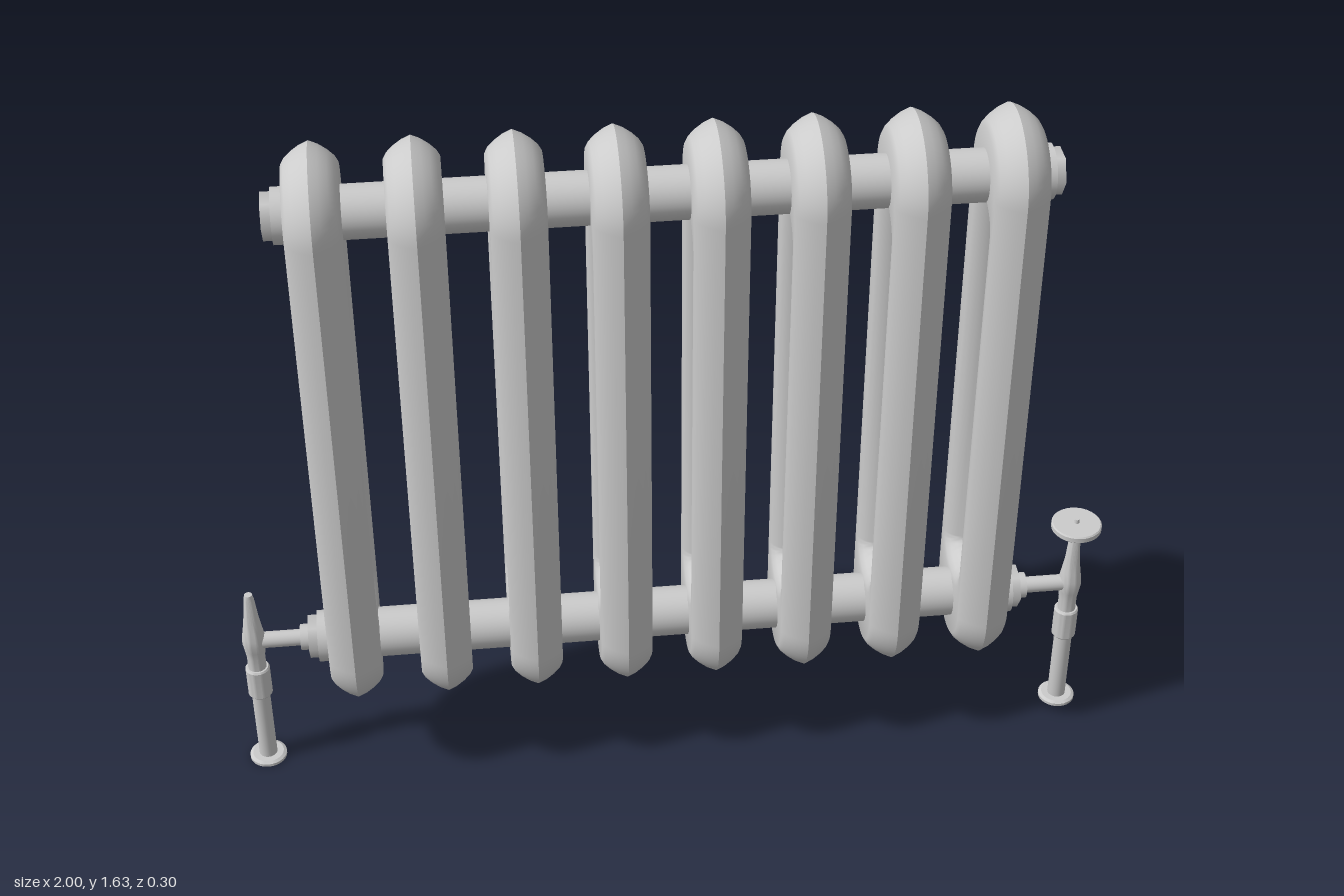
import * as THREE from 'three';
import { toCreasedNormals, mergeVertices } from 'three/addons/utils/BufferGeometryUtils.js';

const metal = new THREE.MeshStandardMaterial({ color: 0xcccccc });
const openMetal = new THREE.MeshStandardMaterial({ color: 0xcccccc, side: THREE.DoubleSide });

const CENTRE = -0.01, PITCH = 0.2054, COUNT = 8, HALF = 0.058;
const LOW = 0.358, HIGH = 1.485;

function add(parent, name, geometry, x = 0, y = 0, z = 0, material = metal) {
  const mesh = new THREE.Mesh(geometry, material);
  mesh.name = name;
  mesh.position.set(x, y, z);
  parent.add(mesh);
  return mesh;
}

// Cylinder lying along x
function rod(radius, length, sides = 32) {
  return new THREE.CylinderGeometry(radius, radius, length, sides).rotateZ(Math.PI / 2);
}

// One long loop in the z-y plane: straight sides with half-ellipse ends
function loop(rz, ry, bottom, top, x, steps = 28) {
  const points = [];
  for (const [centre, start] of [[top, 0], [bottom, Math.PI]]) {
    for (let i = 0; i <= steps; i++) {
      const a = start + (Math.PI * i) / steps;
      points.push([x, centre + ry * Math.sin(a), rz * Math.cos(a)]);
    }
  }
  return points;
}

// Hollow column section: ridged outer rim, flat cheeks, rounded inner opening
function sectionGeometry() {
  const rim = [[0.045, HALF], [0.033, 0.051], [0.02, 0.037], [0.008, 0.019], [0, 0]];
  const outer = [...rim, ...rim.slice(0, 4).reverse().map(([d, x]) => [d, -x])]
    .map(([d, x]) => loop(0.152 - d, 0.152 - d, 0.367, 1.48, x));
  const inner = [];
  for (let i = 0; i <= 10; i++) {
    const a = (Math.PI * i) / 10;
    const e = 0.043 * (1 - Math.sin(a));
    inner.push(loop(0.05 + e, 0.023 + e, 0.473, 1.385, -HALF * Math.cos(a)));
  }
  const rings = [...outer, ...inner];
  const n = rings[0].length, positions = [], index = [];
  rings.forEach((ring) => ring.forEach((p) => positions.push(...p)));
  for (let r = 0; r < rings.length; r++) {
    const next = (r + 1) % rings.length;
    for (let i = 0; i < n; i++) {
      const j = (i + 1) % n;
      const a = r * n + i, b = r * n + j, c = next * n + j, d = next * n + i;
      index.push(a, d, b, b, d, c);
    }
  }
  const geometry = new THREE.BufferGeometry();
  geometry.setAttribute('position', new THREE.Float32BufferAttribute(positions, 3));
  geometry.setIndex(index);
  // Make sure the faces point outwards, judged by the signed volume
  let volume = 0;
  const v = (k) => new THREE.Vector3().fromArray(positions, 3 * k);
  for (let i = 0; i < index.length; i += 3) {
    volume += v(index[i]).dot(v(index[i + 1]).cross(v(index[i + 2])));
  }
  if (volume < 0) geometry.setIndex(index.reverse());
  return toCreasedNormals(mergeVertices(geometry), 0.56);
}

// Round washer with a hexagonal nut outside it
function endFitting(parent, side, y) {
  const face = CENTRE + side * (3.5 * PITCH + HALF);
  add(parent, 'washer', rod(0.059, 0.026), face + side * 0.012, y);
  add(parent, 'hexNut', rod(0.05, 0.022, 6), face + side * 0.035, y);
  return face + side * 0.045;
}

function lathe(points, crease = 0.5) {
  const g = new THREE.LatheGeometry(points.map(([r, y]) => new THREE.Vector2(r, y)), 28);
  return toCreasedNormals(g, crease);
}

// Floor pipe, coupling, valve body and side pipe
function valve(name, x, hasWheel, nutEnd) {
  const group = new THREE.Group();
  group.name = name;
  add(group, 'floorFlange', lathe([[0.02, 0], [0.043, 0], [0.043, 0.007], [0.036, 0.011], [0.02, 0.011]]), x, 0, 0, openMetal);
  add(group, 'floorPipe', new THREE.CylinderGeometry(0.021, 0.021, 0.205, 28, 1, true), x, 0.1025, 0, openMetal);
  add(group, 'coupling', lathe([[0, 0.198], [0.025, 0.198], [0.028, 0.202], [0.028, 0.276], [0.025, 0.28], [0, 0.28]]), x);
  const tip = hasWheel ? 0.52 : 0.495;
  add(group, 'valveBody', lathe([
    [0.021, 0.278], [0.021, 0.315], [0.024, 0.335], [0.027, 0.355], [0.026, 0.372],
    [0.022, 0.395], [0.017, 0.43], [0.012, tip - 0.015], [0.009, tip], [0, tip],
  ], 0.6), x);
  const side = Math.sign(x);
  add(group, 'sidePipe', rod(0.019, Math.abs(x - nutEnd)), (x + nutEnd) / 2, LOW);
  add(group, 'pipeCollar', rod(0.03, 0.024), nutEnd + side * 0.008, LOW);
  if (hasWheel) {
    add(group, 'handWheel', lathe([
      [0, 0.519], [0.055, 0.519], [0.058, 0.522], [0.058, 0.533], [0.055, 0.536], [0, 0.536],
    ]), x);
    add(group, 'wheelScrew', new THREE.CylinderGeometry(0.005, 0.006, 0.012, 12), x, 0.54);
  }
  return group;
}

export function createModel() {
  const model = new THREE.Group();
  model.name = 'columnRadiator';

  // Row of equal sections
  const section = sectionGeometry();
  for (let i = 0; i < COUNT; i++) {
    add(model, `section${i + 1}`, section, CENTRE + (i - (COUNT - 1) / 2) * PITCH);
  }

  // Header tubes joining the sections
  for (const [name, y] of [['upperHeader', HIGH], ['lowerHeader', LOW]]) {
    add(model, name, rod(0.057, (COUNT - 1) * PITCH), CENTRE, y);
  }

  // Plugs at the top, valves at the bottom
  for (const side of [-1, 1]) {
    const fittings = new THREE.Group();
    fittings.name = side > 0 ? 'leftEndFittings' : 'rightEndFittings';
    endFitting(fittings, side, HIGH);
    const nutEnd = endFitting(fittings, side, LOW);
    model.add(fittings);
    model.add(side > 0 ? valve('wheelValve', 0.94, true, nutEnd) : valve('lockshieldValve', -0.958, false, nutEnd));
  }
  return model;
}
